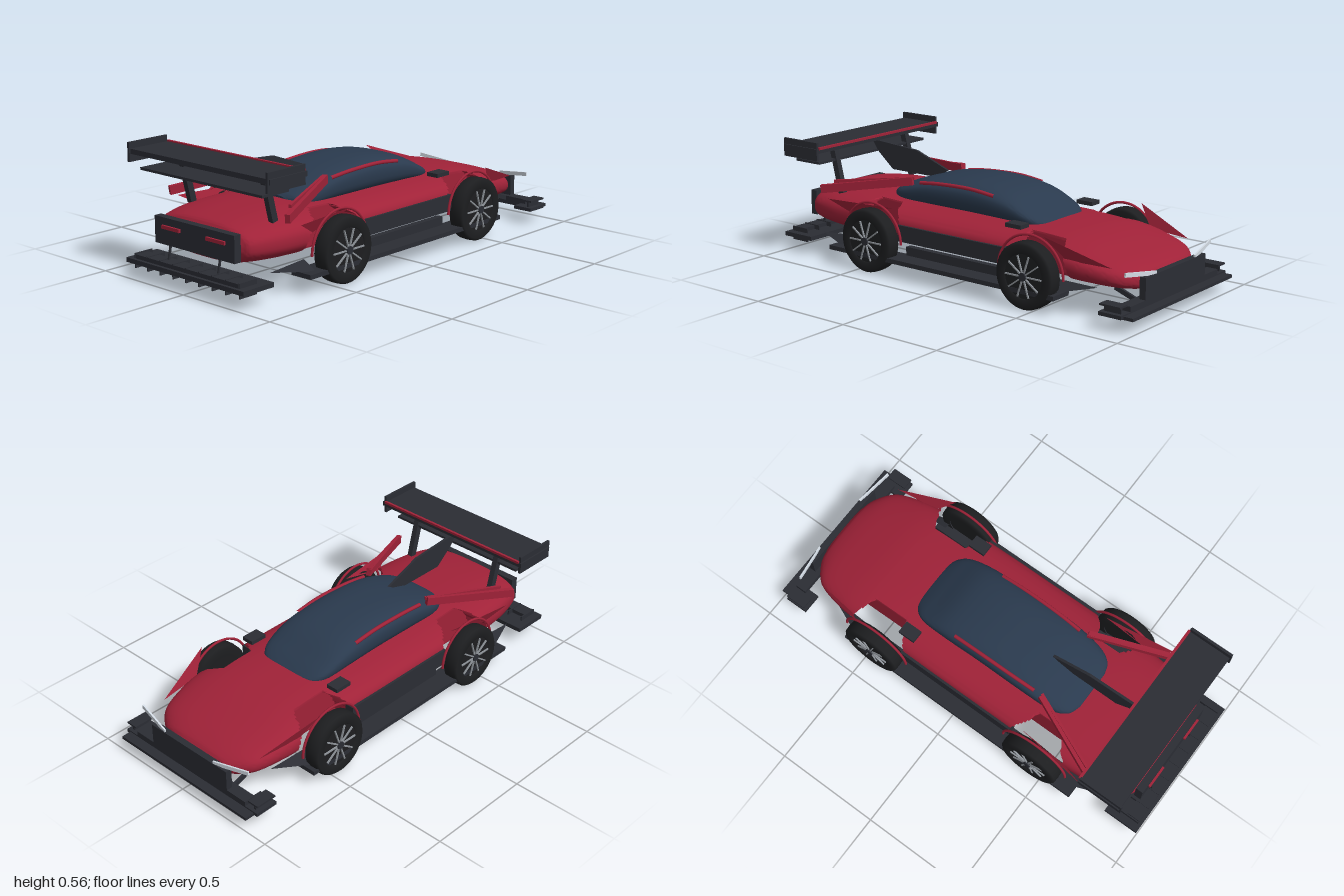
import * as THREE from 'three';
import { toCreasedNormals } from 'three/addons/utils/BufferGeometryUtils.js';

const mat = (color, side = THREE.FrontSide) => new THREE.MeshStandardMaterial({ color, side });
const RED = mat(0xa02238), THIN_RED = mat(0xa02238, THREE.DoubleSide);
const DARK = mat(0x2b2d34), THIN_DARK = mat(0x2b2d34, THREE.DoubleSide);
const TYRE = mat(0x1d1e20), GLASS = mat(0x2a3a4e), SILVER = mat(0x8d9298), LAMP = mat(0xd5dde6);

const WHEELS = [-0.435, 0.46], AXLE_Y = 0.147, WHEEL_R = 0.147;

// Loft of superellipse sections; stations are [x, halfWidth, bottom, waist, top]
function loft(stations, power, perSegment, around, adjust) {
  const wide = new THREE.CatmullRomCurve3(stations.map(s => new THREE.Vector3(s[0], s[1], s[4])), false, 'catmullrom');
  const low = new THREE.CatmullRomCurve3(stations.map(s => new THREE.Vector3(s[0], s[2], s[3])), false, 'catmullrom');
  const rings = (stations.length - 1) * perSegment, pos = [], idx = [];
  const round = v => Math.sign(v) * Math.abs(v) ** (2 / power);
  for (let i = -1; i <= rings + 1; i++) {
    const t = THREE.MathUtils.clamp(i / rings, 0, 1);
    const a = wide.getPoint(t), b = low.getPoint(t);
    const scale = i < 0 || i > rings ? 0.001 : 1; // closed ends
    for (let j = 0; j <= around; j++) {
      const ang = (j / around) * Math.PI * 2, s = round(Math.sin(ang));
      const p = new THREE.Vector3(a.x, b.y === undefined ? 0 : b.z + scale * s * (s > 0 ? a.z - b.z : b.z - b.y),
        scale * a.y * round(Math.cos(ang)));
      if (adjust) adjust(p);
      pos.push(p.x, p.y, p.z);
    }
  }
  const row = around + 1;
  for (let i = 0; i < rings + 2; i++) for (let j = 0; j < around; j++) {
    const k = i * row + j;
    idx.push(k, k + row, k + 1, k + 1, k + row, k + row + 1);
  }
  const geo = new THREE.BufferGeometry();
  geo.setAttribute('position', new THREE.Float32BufferAttribute(pos, 3));
  geo.setIndex(idx);
  return toCreasedNormals(geo, 0.6);
}

export function createModel() {
  const car = new THREE.Group();
  car.name = 'raceCar';
  const add = (name, geo, material, parent = car) => {
    const m = new THREE.Mesh(geo, material);
    m.name = name;
    parent.add(m);
    return m;
  };
  // Box from its min and max along each axis
  const box = (name, material, x0, x1, y0, y1, z0, z1) => {
    const m = add(name, new THREE.BoxGeometry(x1 - x0, y1 - y0, Math.abs(z1 - z0)), material);
    m.position.set((x0 + x1) / 2, (y0 + y1) / 2, (z0 + z1) / 2);
    return m;
  };
  // Rectangular bar between two points
  const beam = (name, material, a, b, w, h) => {
    const p = new THREE.Vector3(...a), q = new THREE.Vector3(...b);
    const m = add(name, new THREE.BoxGeometry(w, h, p.distanceTo(q)), material);
    m.position.copy(p).add(q).multiplyScalar(0.5);
    m.lookAt(q);
    return m;
  };
  const triangle = (name, material, ...corners) => {
    const geo = new THREE.BufferGeometry().setFromPoints(corners.map(c => new THREE.Vector3(...c)));
    geo.computeVertexNormals();
    return add(name, geo, material);
  };

  // Bodywork, hollowed around the wheels
  add('body', loft([
    [-0.90, 0.24, 0.165, 0.22, 0.28], [-0.87, 0.28, 0.135, 0.22, 0.303], [-0.75, 0.315, 0.125, 0.22, 0.32],
    [-0.62, 0.33, 0.122, 0.22, 0.325], [-0.5, 0.335, 0.12, 0.22, 0.325], [-0.38, 0.335, 0.12, 0.22, 0.32],
    [-0.26, 0.335, 0.12, 0.22, 0.316], [-0.05, 0.335, 0.12, 0.22, 0.314], [0.15, 0.335, 0.12, 0.22, 0.313],
    [0.28, 0.335, 0.12, 0.215, 0.312], [0.4, 0.335, 0.118, 0.21, 0.31], [0.5, 0.335, 0.115, 0.21, 0.305],
    [0.6, 0.332, 0.112, 0.205, 0.295], [0.7, 0.322, 0.11, 0.195, 0.275], [0.83, 0.285, 0.11, 0.175, 0.24],
    [0.9, 0.21, 0.112, 0.16, 0.212], [0.925, 0.14, 0.12, 0.155, 0.19],
  ], 2.6, 10, 72, p => {
    for (const x of WHEELS) if (Math.hypot(p.x - x, p.y - AXLE_Y) < 0.168)
      p.z = THREE.MathUtils.clamp(p.z, -0.22, 0.22);
  }), RED);

  // Glass canopy
  add('canopy', loft([
    [-0.495, 0.10, 0.28, 0.31, 0.335], [-0.47, 0.15, 0.27, 0.32, 0.352], [-0.4, 0.183, 0.27, 0.33, 0.382],
    [-0.25, 0.195, 0.27, 0.36, 0.422], [-0.02, 0.195, 0.27, 0.365, 0.44], [0.18, 0.195, 0.27, 0.35, 0.415],
    [0.31, 0.183, 0.27, 0.32, 0.355], [0.37, 0.145, 0.27, 0.30, 0.32], [0.39, 0.09, 0.28, 0.295, 0.305],
  ], 2.8, 6, 48), GLASS);

  // Wheels
  const tyreProfile = [[0.095, -0.036], [0.135, -0.038], [0.145, -0.028], [WHEEL_R, 0],
    [0.145, 0.028], [0.135, 0.038], [0.1, 0.036], [0.095, 0.026]].map(p => new THREE.Vector2(...p));
  for (const s of [1, -1]) for (const x of WHEELS) {
    const wheel = new THREE.Group();
    wheel.name = 'wheel';
    wheel.position.set(x, AXLE_Y, s * 0.368);
    if (s < 0) wheel.rotation.y = Math.PI;
    car.add(wheel);
    add('tyre', new THREE.LatheGeometry(tyreProfile, 40).rotateX(Math.PI / 2), mat(0x1d1e20, THREE.DoubleSide), wheel);
    add('rim', new THREE.CylinderGeometry(0.098, 0.098, 0.06, 32).rotateX(Math.PI / 2), TYRE, wheel);
    add('hub', new THREE.CylinderGeometry(0.018, 0.018, 0.016, 16).rotateX(Math.PI / 2), DARK, wheel).position.z = 0.034;
    for (let i = 0; i < 10; i++)
      add('spoke', new THREE.BoxGeometry(0.078, 0.006, 0.008).translate(0.055, 0, 0.033).rotateZ(i * Math.PI / 5), SILVER, wheel);
    // Arch trim over the wheel
    add('wheelArch', new THREE.TorusGeometry(0.171, 0.006, 6, 28, Math.PI), RED).position.set(x, AXLE_Y, s * 0.352);
  }

  // Parts on both sides
  for (const s of [1, -1]) {
    triangle('frontFenderBlade', THIN_RED, [0.54, 0.325, s * 0.367], [0.83, 0.225, s * 0.295], [0.62, 0.23, s * 0.32]);
    triangle('rearFenderBlade', THIN_RED, [-0.69, 0.3, s * 0.372], [-0.34, 0.3, s * 0.325], [-0.58, 0.24, s * 0.33]);
    box('sidePanel', DARK, -0.29, 0.32, 0.16, 0.235, s * 0.3, s * 0.345);
    box('sideSill', DARK, -0.27, 0.3, 0.085, 0.13, s * 0.28, s * 0.31);
    box('sideSkirt', DARK, -0.665, 0.615, 0.07, 0.09, s * 0.29, s * 0.4);
    triangle('skirtTip', THIN_DARK, [0.56, 0.085, s * 0.37], [0.76, 0.13, s * 0.29], [0.56, 0.135, s * 0.3]);
    triangle('rearSkirtTip', THIN_DARK, [-0.6, 0.085, s * 0.37], [-0.8, 0.11, s * 0.3], [-0.6, 0.125, s * 0.3]);
    beam('rearButtress', RED, [-0.75, 0.335, s * 0.355], [-0.34, 0.4, s * 0.18], 0.022, 0.038);
    beam('buttressRail', RED, [-0.7, 0.372, s * 0.32], [-0.34, 0.41, s * 0.17], 0.012, 0.014);
    const rail = new THREE.CatmullRomCurve3([[-0.3, 0.395, 0.173], [-0.18, 0.407, 0.178], [0, 0.411, 0.18], [0.13, 0.398, 0.178]]
      .map(([x, y, z]) => new THREE.Vector3(x, y, s * z)));
    add('roofRail', new THREE.TubeGeometry(rail, 16, 0.009, 8), RED);
    box('mirror', DARK, 0.28, 0.363, 0.31, 0.328, s * 0.232, s * 0.292);
    beam('headlightStrip', LAMP, [0.918, 0.222, s * 0.33], [0.95, 0.197, s * 0.15], 0.008, 0.018);
    box('splitterFoot', DARK, 0.845, 0.955, 0.062, 0.078, s * 0.315, s * 0.41);
    box('splitterFootCap', DARK, 0.85, 0.95, 0.105, 0.113, s * 0.355, s * 0.41);
    box('splitterFootPost', DARK, 0.86, 0.94, 0.07, 0.108, s * 0.378, s * 0.388);
    beam('splitterStay', DARK, [0.8, 0.125, s * 0.22], [0.94, 0.075, s * 0.22], 0.012, 0.02);
    beam('wingStrut', DARK, [-0.72, 0.3, s * 0.245], [-0.775, 0.52, s * 0.245], 0.026, 0.03);
    box('wingEndPlate', DARK, -0.922, -0.71, 0.48, 0.565, s * 0.407, s * 0.419);
    box('tailLight', RED, -0.945, -0.93, 0.235, 0.25, s * 0.08, s * 0.19);
  }

  // Front splitter and nose panel
  box('splitter', DARK, 0.91, 1.0, 0.058, 0.072, -0.39, 0.39);
  box('splitterStep', DARK, 0.9, 0.955, 0.072, 0.1, -0.34, 0.34);
  box('nosePanel', DARK, 0.925, 0.955, 0.098, 0.195, -0.232, 0.232);

  // Rear panel and diffuser with fins
  box('rearPanel', DARK, -0.935, -0.9, 0.165, 0.282, -0.24, 0.24);
  box('diffuser', DARK, -1.0, -0.83, 0.07, 0.09, -0.355, 0.355);
  box('diffuserStep', DARK, -0.985, -0.92, 0.088, 0.108, -0.31, 0.31);
  for (let i = -4; i <= 4; i++)
    box('diffuserFin', DARK, -0.985, -0.89, 0.047, 0.112, i * 0.079 - 0.003, i * 0.079 + 0.003);
  for (const z of [-0.15, 0.15]) beam('diffuserStay', DARK, [-0.945, 0.09, z], [-0.925, 0.19, z], 0.008, 0.008);

  // Rear wing
  box('wing', DARK, -0.915, -0.705, 0.515, 0.537, -0.425, 0.425);
  box('wingTrim', RED, -0.712, -0.7, 0.532, 0.543, -0.41, 0.41);
  box('lowerWing', DARK, -0.9, -0.75, 0.45, 0.461, -0.365, 0.365);

  // Spine fin behind the canopy
  const fin = new THREE.Shape([[-0.75, 0.515], [-0.47, 0.495], [-0.28, 0.425], [-0.36, 0.385], [-0.62, 0.385], [-0.71, 0.46]]
    .map(p => new THREE.Vector2(...p)));
  add('spineFin', new THREE.ExtrudeGeometry(fin, { depth: 0.012, bevelEnabled: false }).translate(0, 0, -0.006), DARK);

  return car;
}
